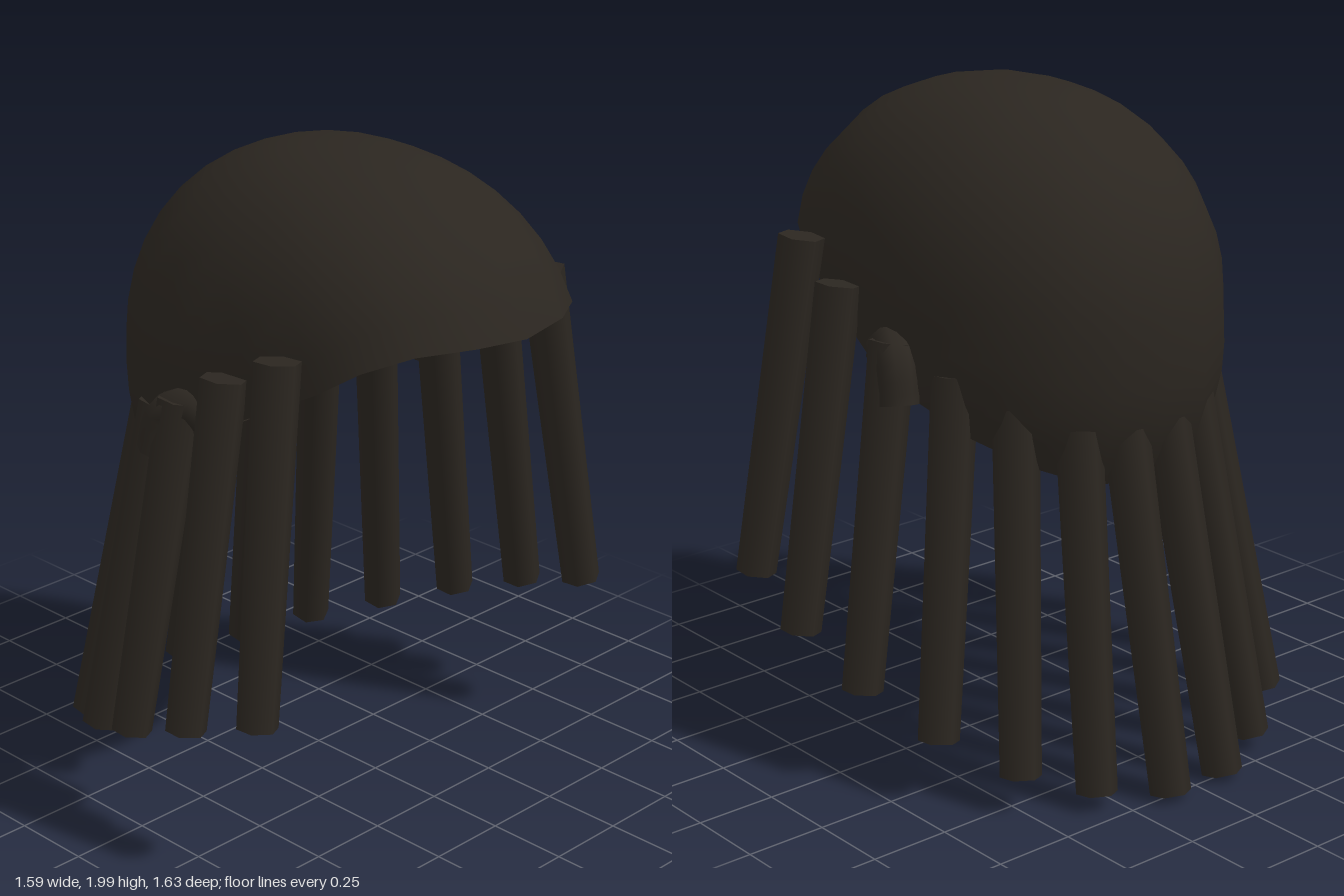
import * as THREE from 'three';

const V = (x, y, z) => new THREE.Vector3(x, y, z);
const CENTRE = V(0, 1.33, 0.1);

// Distance from the centre to a soft, slightly boxy ellipsoid along a direction
function domeRadius(d) {
  const n = 2.2;
  const a = Math.abs(d.x) / 0.55, b = Math.abs(d.y) / 0.67;
  const c = Math.abs(d.z) / (d.z > 0 ? 0.78 : 0.71);
  return Math.pow(a ** n + b ** n + c ** n, -1 / n);
}

// Open cap: meridians sweep from the tilted rim up to the pole
function capGeometry() {
  const half = [
    [0, 1.58, 0.815], [0.18, 1.59, 0.79], [0.33, 1.58, 0.7], [0.43, 1.53, 0.59],
    [0.48, 1.45, 0.47], [0.515, 1.36, 0.3], [0.54, 1.25, 0.1], [0.53, 1.16, -0.1],
    [0.46, 1.07, -0.28], [0.34, 0.99, -0.41], [0.18, 0.92, -0.49], [0, 0.91, -0.51],
  ].map(p => V(...p));
  const other = half.slice(1, -1).reverse().map(p => V(-p.x, p.y, p.z));
  const rim = half.concat(other);
  const cols = rim.length, rows = 12;
  const pole = V(0, 0.88, -0.47).normalize();
  const pos = [], index = [];
  for (let r = 0; r < rows; r++) {
    const t = r / rows;
    for (const p of rim) {
      const d = p.clone().sub(CENTRE);
      const length = d.length();
      d.normalize();
      const angle = d.angleTo(pole);
      const fit = length / domeRadius(d);
      const dir = d.multiplyScalar(Math.sin((1 - t) * angle))
        .addScaledVector(pole, Math.sin(t * angle)).normalize();
      const blend = 1 + (fit - 1) * Math.max(0, 1 - t * 3);
      const q = dir.clone().multiplyScalar(domeRadius(dir) * blend).add(CENTRE);
      pos.push(q.x, q.y, q.z);
    }
  }
  const top = pole.clone().multiplyScalar(domeRadius(pole)).add(CENTRE);
  pos.push(top.x, top.y, top.z);
  for (let r = 0; r < rows; r++) {
    for (let i = 0; i < cols; i++) {
      const j = (i + 1) % cols;
      const a = r * cols + i, b = r * cols + j;
      if (r === rows - 1) index.push(a, b, rows * cols);
      else index.push(a, b, b + cols, a, b + cols, a + cols);
    }
  }
  const g = new THREE.BufferGeometry();
  g.setAttribute('position', new THREE.Float32BufferAttribute(pos, 3));
  g.setIndex(index);
  g.computeVertexNormals();
  return g;
}

// Six-sided hanging lock between two points
function makeLock(top, bottom, material) {
  const dir = top.clone().sub(bottom);
  const mesh = new THREE.Mesh(
    new THREE.CylinderGeometry(0.07, 0.062, dir.length(), 6), material);
  mesh.position.copy(top).add(bottom).multiplyScalar(0.5);
  mesh.quaternion.setFromUnitVectors(V(0, 1, 0), dir.normalize());
  return mesh;
}

export function createModel() {
  const group = new THREE.Group();
  const hair = new THREE.MeshStandardMaterial({ color: 0x2b2620, side: THREE.DoubleSide });

  const cap = new THREE.Mesh(capGeometry(), hair);
  cap.name = 'hairCap';
  group.add(cap);

  // Locks from the temples round to the nape: top point, bottom point
  const locks = [
    [[0.555, 1.55, 0.395], [0.71, 0.5, 0.465]],
    [[0.57, 1.45, 0.195], [0.74, 0.4, 0.195]],
    [[0.54, 1.32, -0.02], [0.715, 0.29, -0.075]],
    [[0.455, 1.24, -0.2], [0.625, 0.19, -0.32]],
    [[0.355, 1.16, -0.35], [0.49, 0.11, -0.53]],
    [[0.22, 1.1, -0.47], [0.31, 0.05, -0.66]],
    [[0.08, 1.08, -0.515], [0.105, 0.02, -0.755]],
  ];

  for (const s of [1, -1]) {
    const side = s > 0 ? 'left' : 'right';
    locks.forEach(([t, b], i) => {
      const lock = makeLock(V(s * t[0], t[1], t[2]), V(s * b[0], b[1], b[2]), hair);
      lock.name = `${side}Lock${i + 1}`;
      group.add(lock);
    });

    // Short curl hooked over the ear
    const path = new THREE.CatmullRomCurve3([
      V(s * 0.5, 1.26, 0.07), V(s * 0.525, 1.3, 0.01),
      V(s * 0.56, 1.27, -0.06), V(s * 0.575, 1.15, -0.09),
    ]);
    const curl = new THREE.Mesh(new THREE.TubeGeometry(path, 8, 0.06, 8), hair);
    curl.name = `${side}EarCurl`;
    group.add(curl);
  }
  return group;
}
